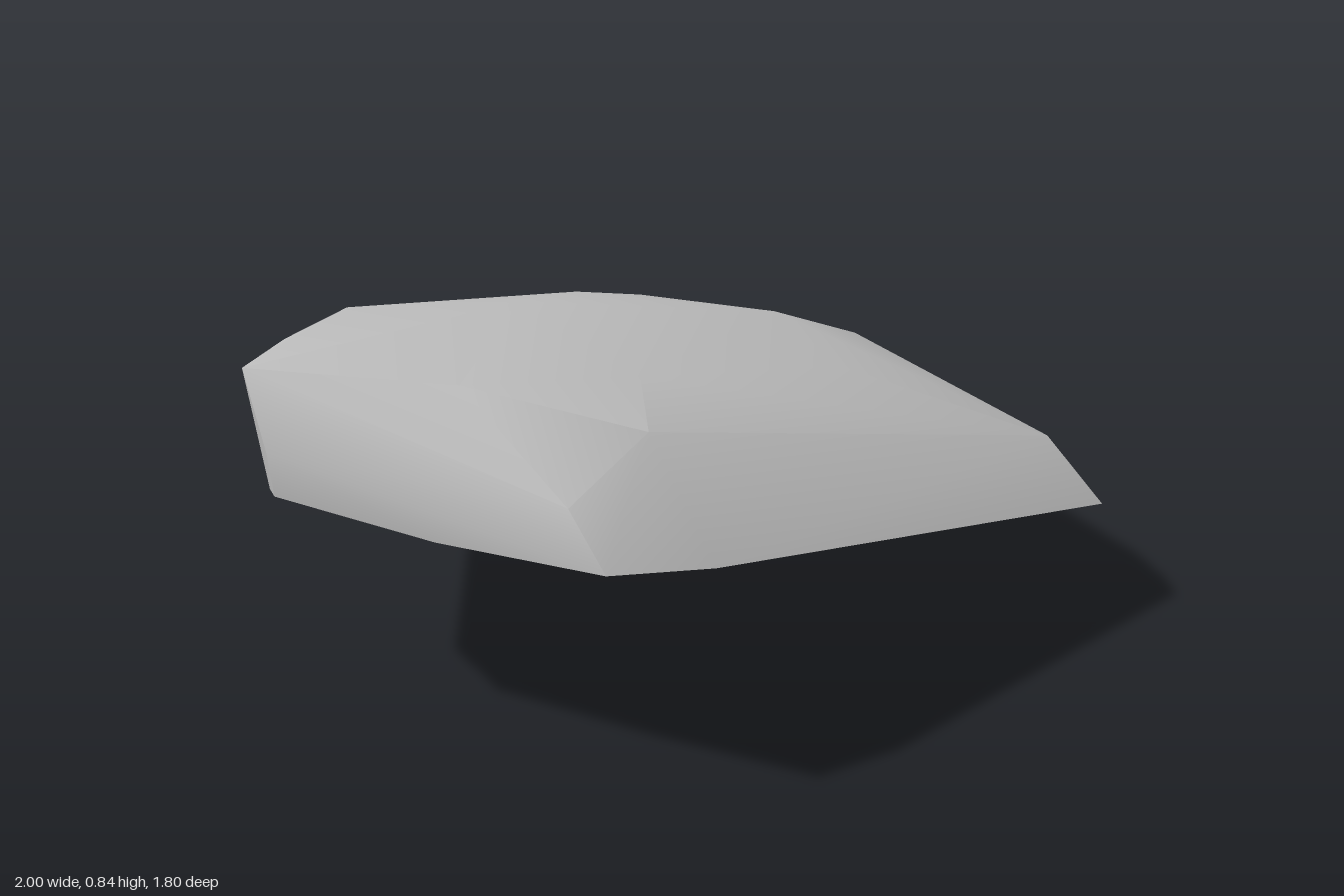
import * as THREE from 'three';
import { ConvexGeometry } from 'three/addons/geometries/ConvexGeometry.js';
import { toCreasedNormals } from 'three/addons/utils/BufferGeometryUtils.js';

// Sloping, slightly bowed underside, walking round its edge
const underside = [
  [-0.55, 0.57, 0.9], [-0.3, 0.525, 0.9], [0.91, 0.29, 0.67],
  [0.86, 0, -0.67], [0.4, 0.055, -0.8], [0, 0.145, -0.85],
  [-0.08, 0.17, -0.88], [-0.22, 0.205, -0.8], [-0.29, 0.235, -0.74],
  [-0.93, 0.487, 0.04], [-0.99, 0.57, 0.25], [-0.77, 0.555, 0.58],
];

// Widest rim of the stone
const rim = [
  [1, 0.27, -0.31], [1, 0.11, -0.29], [0.98, 0.085, -0.36], [0.92, 0.13, -0.59],
  [0.33, 0.38, -0.88], [0.13, 0.4, -0.9], [-0.08, 0.42, -0.89],
  [-0.22, 0.48, -0.83], [-0.38, 0.58, -0.66], [-0.53, 0.67, -0.48],
  [-0.78, 0.72, -0.23], [-0.97, 0.78, 0.04], [-1, 0.82, 0.13], [-1, 0.67, 0.25],
];

// Gently domed upper face and its front bevel
const crown = [
  [-0.66, 0.84, 0.48], [-0.58, 0.68, 0.8], [-0.35, 0.76, 0.71],
  [-0.27, 0.8, 0.53], [-0.3, 0.8, 0], [0.33, 0.66, 0.4], [0.4, 0.65, 0],
  [0.1, 0.6, -0.48], [0.3, 0.55, -0.5], [0.81, 0.45, 0.57], [0.88, 0.4, 0.44],
  [0.82, 0.43, -0.25],
];

export function createModel() {
  const group = new THREE.Group();
  group.name = 'boulder';

  const stoneGrey = new THREE.MeshStandardMaterial({ color: 0xbcbcbc });
  stoneGrey.name = 'stone grey';

  // Chipped stone: a hull with soft facets and sharp main edges
  const points = [...underside, ...rim, ...crown].map((p) => new THREE.Vector3(...p));
  const stone = new THREE.Mesh(toCreasedNormals(new ConvexGeometry(points), 0.55), stoneGrey);
  stone.name = 'stone';
  group.add(stone);
  return group;
}
